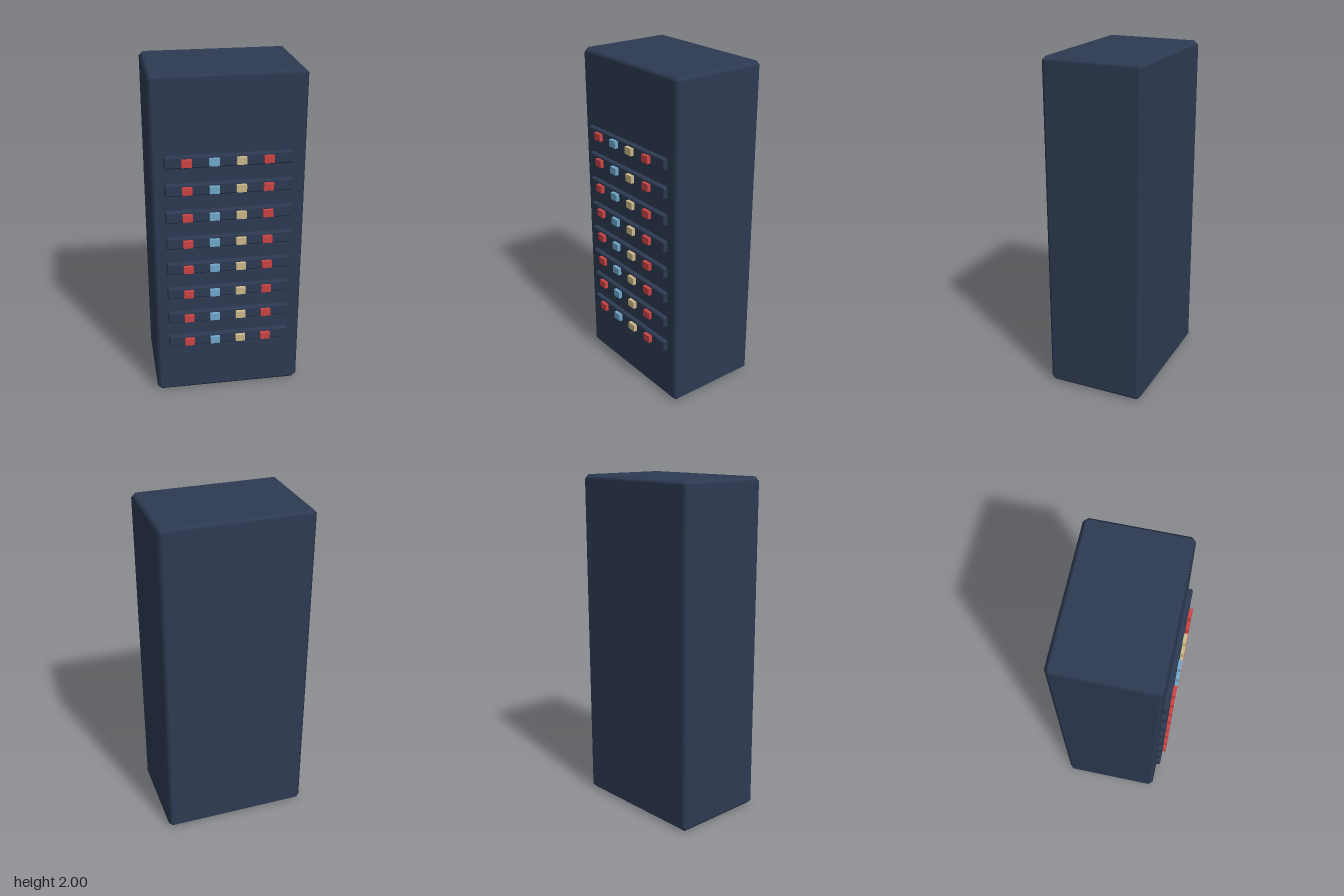
import * as THREE from 'three';
import { RoundedBoxGeometry } from 'three/addons/geometries/RoundedBoxGeometry.js';

// Box with a single soft-shaded 45 degree chamfer: the rounded corners are flattened onto the chamfer plane
function chamferBox(w, h, d, r) {
  const geo = new RoundedBoxGeometry(w, h, d, 1, r);
  const pos = geo.attributes.position;
  const nor = geo.attributes.normal;
  const p = new THREE.Vector3();
  const n = new THREE.Vector3();
  for (let i = 0; i < pos.count; i++) {
    p.fromBufferAttribute(pos, i);
    n.fromBufferAttribute(nor, i);
    p.addScaledVector(n, r / n.manhattanLength() - r);
    pos.setXYZ(i, p.x, p.y, p.z);
  }
  return geo;
}

function material(name, color) {
  const m = new THREE.MeshStandardMaterial({ color });
  m.name = name;
  return m;
}

export function createModel() {
  const model = new THREE.Group();
  model.name = 'serverCabinet';

  const navy = material('navy', 0x2d3a52);
  const red = material('red', 0xcc4444);
  const blue = material('blue', 0x6fa8cc);
  const tan = material('tan', 0xccb88a);

  const add = (parent, name, geo, mat, x, y, z) => {
    const mesh = new THREE.Mesh(geo, mat);
    mesh.name = name;
    mesh.position.set(x, y, z);
    parent.add(mesh);
  };

  // Cabinet body
  add(model, 'cabinet', chamferBox(0.882, 2, 0.593, 0.025), navy, 0, 1, -0.0255);

  // Eight rack units, each with a row of four indicator lights
  const barGeo = chamferBox(0.73, 0.07, 0.05, 0.009);
  const lightGeo = new THREE.BoxGeometry(0.057, 0.043, 0.04);
  const lights = [red, blue, tan, red];
  for (let row = 0; row < 8; row++) {
    const unit = new THREE.Group();
    unit.name = `rackUnit${row + 1}`;
    unit.position.y = 0.37 + row * 0.1636;
    add(unit, 'rackBar', barGeo, navy, 0, 0, 0.274);
    lights.forEach((mat, i) =>
      add(unit, `${mat.name}Light${i + 1}`, lightGeo, mat, -0.241 + i * 0.1537, 0, 0.3));
    model.add(unit);
  }

  return model;
}
